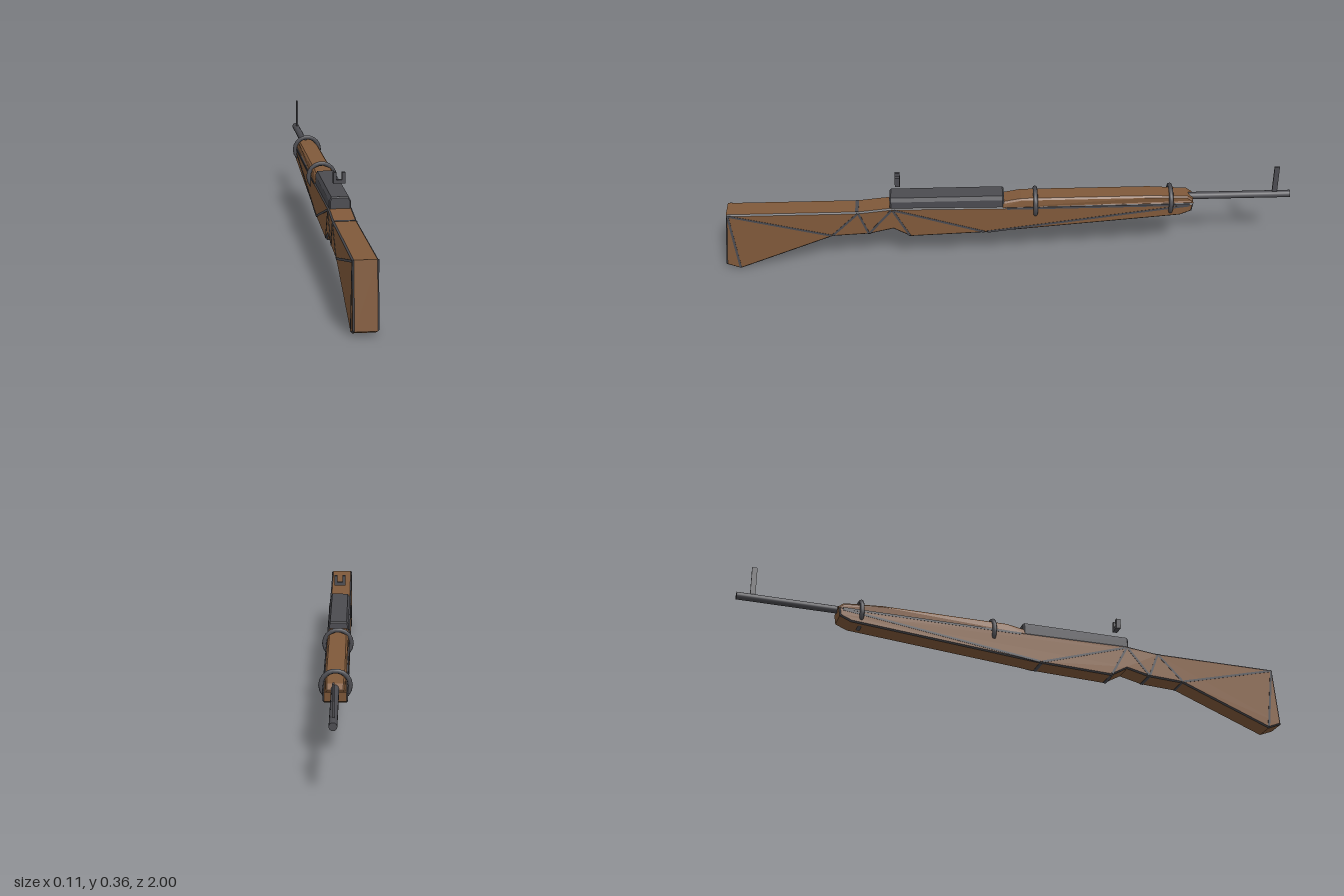
import * as THREE from 'three';

const wood = new THREE.MeshStandardMaterial({ color: 0x80593a });
wood.name = 'walnut wood';
const metal = new THREE.MeshStandardMaterial({ color: 0x4b4b50 });
metal.name = 'dark steel';

const HALF = 0.04; // half width of the stock

// Extrudes a [z, y] outline across x, with small chamfers
function sideProfile(points, halfWidth, bevel) {
  const shape = new THREE.Shape(points.map(([z, y]) => new THREE.Vector2(-z, y)));
  const depth = 2 * (halfWidth - bevel);
  const geo = new THREE.ExtrudeGeometry(shape, {
    depth, bevelEnabled: true, bevelThickness: bevel, bevelSize: bevel, bevelOffset: -bevel, bevelSegments: 1,
  });
  geo.translate(0, 0, -depth / 2);
  geo.rotateY(Math.PI / 2);
  return geo;
}

// Puts the slanted chamfer faces in the second material
function splitChamfers(geo) {
  geo.clearGroups();
  const normal = geo.attributes.normal;
  for (let i = 0; i < normal.count; i += 3) {
    const nx = Math.abs(normal.getX(i));
    geo.addGroup(i, 3, nx > 0.2 && nx < 0.95 ? 1 : 0);
  }
  return geo;
}

export function createModel() {
  const model = new THREE.Group();
  const add = (name, geo, material, x = 0, y = 0, z = 0, parent = model) => {
    const mesh = new THREE.Mesh(geo, material);
    mesh.name = name;
    mesh.position.set(x, y, z);
    parent.add(mesh);
    return mesh;
  };

  // Stock: butt, wrist and fore-end in one outline
  const stock = [
    [1, 0.02], [0.95, 0], [0.615, 0.133], [0.485, 0.14], [0.4, 0.16], [0.34, 0.125], [0.075, 0.135],
    [-0.61, 0.193], [-0.65, 0.21], [-0.655, 0.242], [0, 0.243], [0.4, 0.248], [0.52, 0.235], [0.98, 0.235],
  ];
  add('stock', splitChamfers(sideProfile(stock, HALF, 0.005)), [wood, metal]);

  // Handguard over the barrel, narrowing towards the muzzle
  const guard = [
    [0.02, 0.235], [-0.65, 0.235], [-0.655, 0.25], [-0.635, 0.265], [-0.5, 0.273], [-0.05, 0.273], [0.02, 0.26],
  ];
  const guardGeo = sideProfile(guard, 0.038, 0.006);
  const p = guardGeo.attributes.position;
  for (let i = 0; i < p.count; i++) {
    const lean = p.getY(i) > 0.245 ? 0.9 : 1;
    p.setX(i, p.getX(i) * lean * (p.getZ(i) < -0.62 ? 0.88 : 1));
  }
  guardGeo.computeVertexNormals();
  add('handguard', guardGeo, wood);

  // Dark seams inlaid on both sides of the stock
  const seams = new THREE.Group();
  seams.name = 'seams';
  model.add(seams);
  const lines = [
    [0.975, 0.23, 0.62, 0.138], [0.975, 0.23, 0.95, 0.006], [0.615, 0.138, 0.522, 0.23],
    [0.52, 0.23, 0.488, 0.145], [0.485, 0.145, 0.405, 0.24], [0.4, 0.24, 0.343, 0.131],
    [0.395, 0.24, 0.08, 0.14], [0.07, 0.14, -0.64, 0.235], [0, 0.238, -0.64, 0.238],
  ];
  for (const [z1, y1, z2, y2] of lines) {
    const length = Math.hypot(z2 - z1, y2 - y1);
    for (const side of [-1, 1]) {
      const seam = add('seam', new THREE.BoxGeometry(0.002, 0.008, length), metal,
        side * HALF, (y1 + y2) / 2, (z1 + z2) / 2, seams);
      seam.rotation.x = -Math.atan2(y2 - y1, z2 - z1);
    }
  }
  // Seams across the top and the underside
  for (const [z, y] of [[0.525, 0.235], [0.615, 0.1335], [0.485, 0.14], [0.34, 0.1255], [0.075, 0.1355]]) {
    add('crossSeam', new THREE.BoxGeometry(0.07, 0.003, 0.012), metal, 0, y, z, seams);
  }

  // Receiver with chamfered upper edges
  const section = [[-0.036, 0.235], [0.036, 0.235], [0.036, 0.272], [0.029, 0.286], [-0.029, 0.286], [-0.036, 0.272]];
  const receiver = new THREE.ExtrudeGeometry(
    new THREE.Shape(section.map(([x, y]) => new THREE.Vector2(x, y))),
    { depth: 0.39, bevelThickness: 0.005, bevelSize: 0.004, bevelOffset: -0.004, bevelSegments: 1 });
  add('receiver', receiver, metal, 0, 0, 0.015);

  // Barrel
  const barrel = new THREE.CylinderGeometry(0.013, 0.013, 0.4, 16);
  barrel.rotateX(Math.PI / 2);
  add('barrel', barrel, metal, 0, 0.249, -0.8);

  // Barrel bands
  for (const z of [-0.1, -0.575]) {
    add('barrelBand', new THREE.TorusGeometry(0.047, 0.008, 8, 18), metal, 0, 0.24, z);
  }

  // Front sight post
  add('frontSight', new THREE.BoxGeometry(0.006, 0.11, 0.018), metal, 0, 0.309, -0.945);

  // Rear sight: a base with two prongs
  const rearSight = new THREE.Group();
  rearSight.name = 'rearSight';
  model.add(rearSight);
  add('sightBase', new THREE.BoxGeometry(0.04, 0.012, 0.017), metal, 0, 0.332, 0.38, rearSight);
  for (const side of [-1, 1]) {
    add('sightProng', new THREE.BoxGeometry(0.011, 0.026, 0.017), metal, side * 0.0145, 0.35, 0.38, rearSight);
  }
  return model;
}
